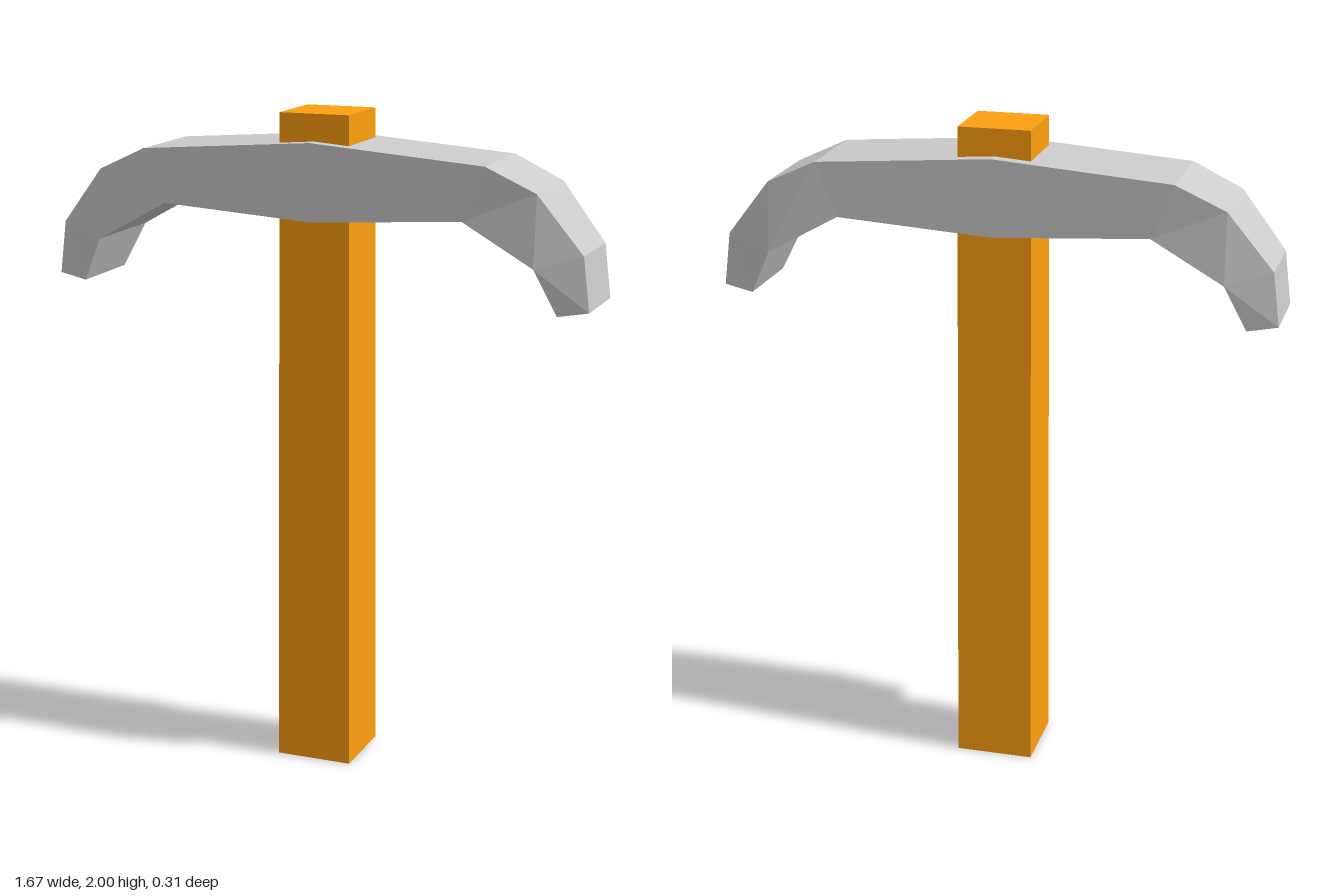
import * as THREE from 'three';

// One half of the head: [upper x, y, half depth, lower x, y, half depth]
const HALF = [
  [0, 1.92, 0.145, 0, 1.69, 0.145],
  [0.53, 1.88, 0.147, 0.465, 1.72, 0.147],
  [0.68, 1.81, 0.138, 0.68, 1.60, 0.155],
  [0.815, 1.64, 0.118, 0.68, 1.60, 0.155],
  [0.835, 1.48, 0.118, 0.745, 1.465, 0.13],
];

// Joins four-cornered sections into a closed, flat-faced solid
function loft(rings) {
  const pos = [];
  const tri = (a, b, c) => {
    if (new THREE.Triangle(a, b, c).getArea() < 1e-7) return;
    for (const p of [a, b, c]) pos.push(p.x, p.y, p.z);
  };
  const quad = (a, b, c, d) => { tri(a, b, c); tri(a, c, d); };
  for (let i = 0; i < rings.length - 1; i++) {
    for (let j = 0; j < 4; j++) {
      const k = (j + 1) % 4;
      quad(rings[i][j], rings[i + 1][j], rings[i + 1][k], rings[i][k]);
    }
  }
  quad(...rings[0]);
  quad(...[...rings[rings.length - 1]].reverse());
  const geo = new THREE.BufferGeometry();
  geo.setAttribute('position', new THREE.Float32BufferAttribute(pos, 3));
  geo.computeVertexNormals();
  return geo;
}

export function createModel() {
  const model = new THREE.Group();
  const metal = new THREE.MeshStandardMaterial({ color: 0xcccccc, flatShading: true });
  const wood = new THREE.MeshStandardMaterial({ color: 0xffa010, flatShading: true });
  const add = (name, geo, mat) => {
    const mesh = new THREE.Mesh(geo, mat);
    mesh.name = name;
    model.add(mesh);
    return mesh;
  };

  // Curved double-ended head, mirrored about its middle section
  const mirrored = HALF.slice(1).reverse().map(([a, b, c, d, e, f]) => [-a, b, c, -d, e, f]);
  const rings = [...mirrored, ...HALF].map(([ux, uy, uz, lx, ly, lz]) => [
    new THREE.Vector3(ux, uy, uz),
    new THREE.Vector3(ux, uy, -uz),
    new THREE.Vector3(lx, ly, -lz),
    new THREE.Vector3(lx, ly, lz),
  ]);
  add('pickHead', loft(rings), metal);

  // Square handle, slightly thicker at the foot, passing through the head
  const handle = new THREE.CylinderGeometry(0.108 * Math.SQRT2, 0.118 * Math.SQRT2, 2, 4);
  handle.rotateY(Math.PI / 4).translate(0, 1, 0);
  add('handle', handle, wood);

  // Tiny pin through the handle below the head
  add('pin', new THREE.BoxGeometry(0.008, 0.008, 0.222).translate(0, 1.6, 0), wood);

  return model;
}
